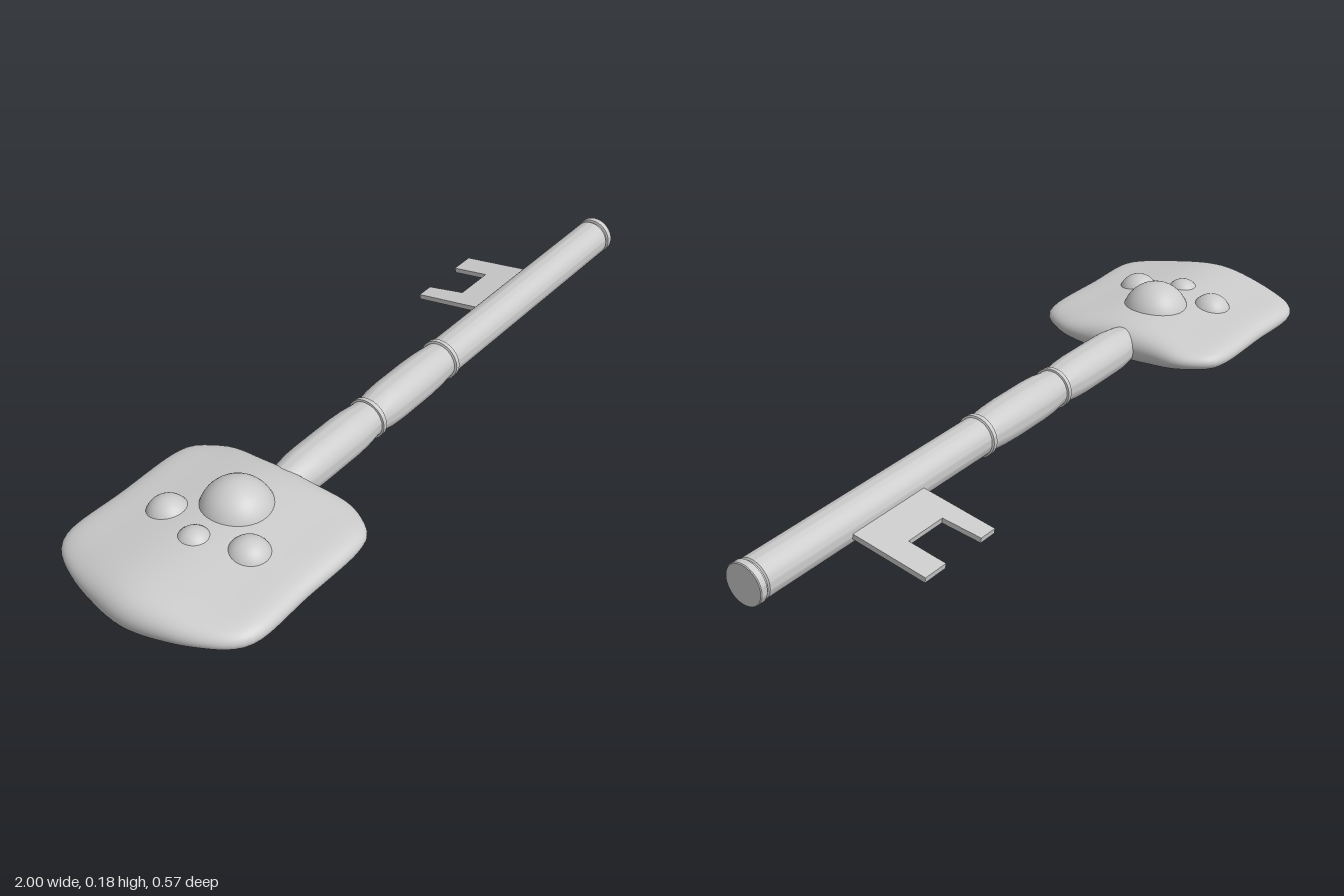
import * as THREE from 'three';
import { toCreasedNormals } from 'three/addons/utils/BufferGeometryUtils.js';

const material = new THREE.MeshStandardMaterial({ color: 0xcccccc });

function addMesh(parent, name, geometry, x = 0, y = 0, z = 0) {
  const mesh = new THREE.Mesh(geometry, material);
  mesh.name = name;
  mesh.position.set(x, y, z);
  parent.add(mesh);
  return mesh;
}

// Pillow-like slab: the outline shrinks towards the middle on both faces
function bowGeometry() {
  const half = [[-0.985, 0.1], [-0.955, 0.19], [-0.915, 0.255], [-0.87, 0.281], [-0.7, 0.282],
    [-0.51, 0.281], [-0.465, 0.265], [-0.425, 0.21], [-0.412, 0.17], [-0.412, 0.08]];
  const outline = [[-1, 0], ...half.map(([x, z]) => [x, -z]), [-0.412, 0], ...half.slice().reverse()];
  const curve = new THREE.CatmullRomCurve3(
    outline.map(([x, z]) => new THREE.Vector3(x, 0, z)), true, 'centripetal');
  const rings = 48, sides = 96, cx = -0.7;
  const edge = curve.getSpacedPoints(sides).slice(0, sides);
  const position = [], index = [];
  for (let i = 0; i <= rings; i++) {
    const t = (i / rings) * Math.PI;
    const s = Math.sin(t);
    const rim = Math.sqrt(Math.max(0, 1 - s ** 8)) * (i <= rings / 2 ? 1 : -1);
    for (const p of edge) {
      const z = p.z * s;
      const thick = 0.049 + 0.012 * Math.cos(Math.min(1, Math.abs(z) / 0.25) * Math.PI);
      position.push(cx + (p.x - cx) * s, 0.063 + thick * rim, z);
    }
  }
  for (let i = 0; i < rings; i++) {
    for (let j = 0; j < sides; j++) {
      const k = (j + 1) % sides;
      const a = i * sides + j, b = a + sides, c = (i + 1) * sides + k, d = i * sides + k;
      index.push(a, c, b, a, d, c);
    }
  }
  const geometry = new THREE.BufferGeometry();
  geometry.setAttribute('position', new THREE.Float32BufferAttribute(position, 3));
  geometry.setIndex(index);
  geometry.computeVertexNormals();
  return geometry;
}

// Turned rod: [distance along x, radius]
function shaftGeometry() {
  const profile = [[-0.46, 0], [-0.46, 0.045], [-0.41, 0.052], [-0.38, 0.056], [-0.34, 0.057],
    [-0.21, 0.057], [-0.17, 0.055], [-0.13, 0.05], [-0.12, 0.05],
    [-0.119, 0.055], [-0.107, 0.055], [-0.106, 0.05], [-0.095, 0.05],
    [-0.06, 0.055], [-0.02, 0.057], [0.09, 0.057], [0.14, 0.055], [0.195, 0.05],
    [0.197, 0.056], [0.209, 0.056], [0.211, 0.051],
    [0.972, 0.051], [0.975, 0.047], [0.98, 0.047], [0.982, 0.053], [0.998, 0.053], [1, 0.051], [1, 0]];
  const lathe = new THREE.LatheGeometry(profile.map(([x, r]) => new THREE.Vector2(r, x)), 48);
  lathe.rotateZ(-Math.PI / 2);
  return toCreasedNormals(lathe, 0.6);
}

// Notched plate, drawn outwards along +y and laid towards the back
function bitGeometry() {
  const shape = new THREE.Shape([[0.47, 0], [0.715, 0], [0.715, 0.259], [0.645, 0.259], [0.645, 0.152],
    [0.527, 0.152], [0.52, 0.259], [0.47, 0.259]].map(([x, y]) => new THREE.Vector2(x, y)));
  const plate = new THREE.ExtrudeGeometry(shape, { depth: 0.014, bevelEnabled: false });
  plate.translate(0, 0, -0.007);
  plate.rotateX(-Math.PI / 2 - 0.16);
  return plate;
}

export function createModel() {
  const key = new THREE.Group();
  key.name = 'key';

  addMesh(key, 'bow', bowGeometry());
  addMesh(key, 'shaft', shaftGeometry(), 0, 0.06, 0);
  addMesh(key, 'bit', bitGeometry(), 0, 0.06, 0);

  // Paw-shaped studs on the upper face: x, y, z, radius
  const studs = new THREE.Group();
  studs.name = 'pawStuds';
  key.add(studs);
  addMesh(studs, 'largePad', new THREE.SphereGeometry(0.092, 40, 24), -0.605, 0.088, 0);
  addMesh(studs, 'middleToe', new THREE.SphereGeometry(0.045, 32, 20), -0.75, 0.096, 0);
  for (const side of [-1, 1]) {
    addMesh(studs, side > 0 ? 'frontToe' : 'backToe',
      new THREE.SphereGeometry(0.055, 32, 20), -0.705, 0.086, side * 0.12);
  }
  return key;
}
